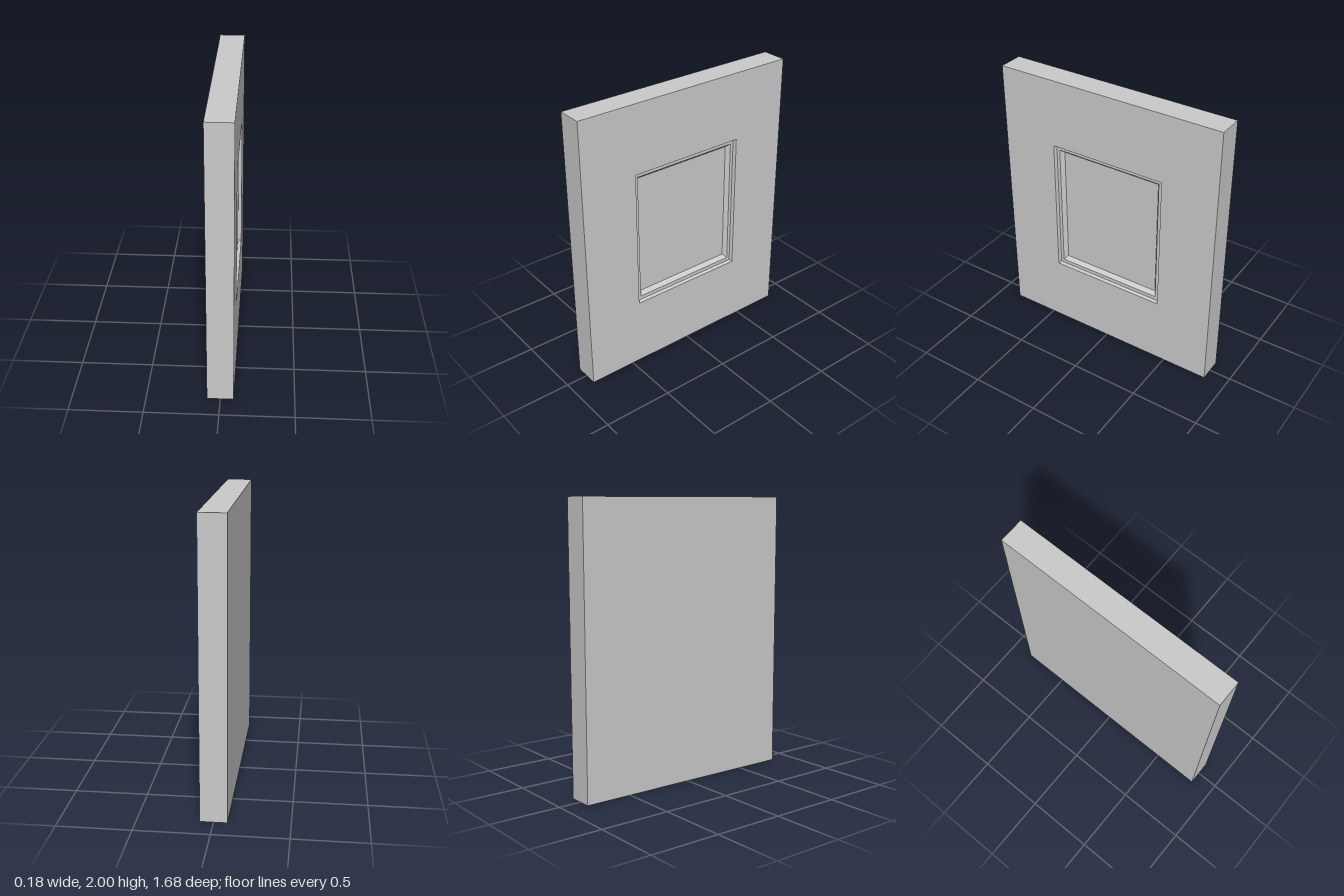
import * as THREE from 'three';

// Rectangle across the slab at depth x, anticlockwise as seen from +x
function ring([x, halfZ, y0, y1]) {
  return [[x, y0, halfZ], [x, y0, -halfZ], [x, y1, -halfZ], [x, y1, halfZ]];
}

// Joins successive rectangles with flat faces, optionally capping the ends
function loft(name, profile, capStart, capEnd) {
  const rings = profile.map(ring);
  const pos = [];
  const quad = (a, b, c, d) => pos.push(...a, ...b, ...c, ...a, ...c, ...d);
  for (let r = 0; r < rings.length - 1; r++) {
    const a = rings[r], b = rings[r + 1];
    for (let i = 0; i < 4; i++) {
      const j = (i + 1) % 4;
      quad(a[i], a[j], b[j], b[i]);
    }
  }
  if (capStart) quad(...[...rings[0]].reverse());
  if (capEnd) quad(...rings[rings.length - 1]);
  const geometry = new THREE.BufferGeometry();
  geometry.setAttribute('position', new THREE.Float32BufferAttribute(pos, 3));
  geometry.computeVertexNormals();
  const mesh = new THREE.Mesh(
    geometry,
    new THREE.MeshStandardMaterial({ color: 0xcccccc, flatShading: true })
  );
  mesh.name = name;
  return mesh;
}

export function createModel() {
  const group = new THREE.Group();
  group.name = 'wallPanel';

  // Each profile row: x, half width in z, bottom y, top y
  const front = 0.09;
  const opening = [front, 0.43, 0.498, 1.508];
  const ledgeOuter = [front - 0.024, 0.422, 0.505, 1.501];
  const ledgeInner = [front - 0.024, 0.398, 0.533, 1.473];
  const paneEdge = [front - 0.054, 0.377, 0.557, 1.448];

  // Slab: back, sides and the face around the opening
  group.add(loft('slab', [[-front, 0.84, 0, 2], [front, 0.84, 0, 2], opening], true, false));
  // Stepped frame: shallow wall, flat ledge, then a chamfer
  group.add(loft('recessFrame', [opening, ledgeOuter, ledgeInner, paneEdge], false, false));
  // Flat sunken pane
  group.add(loft('pane', [paneEdge], false, true));

  return group;
}
